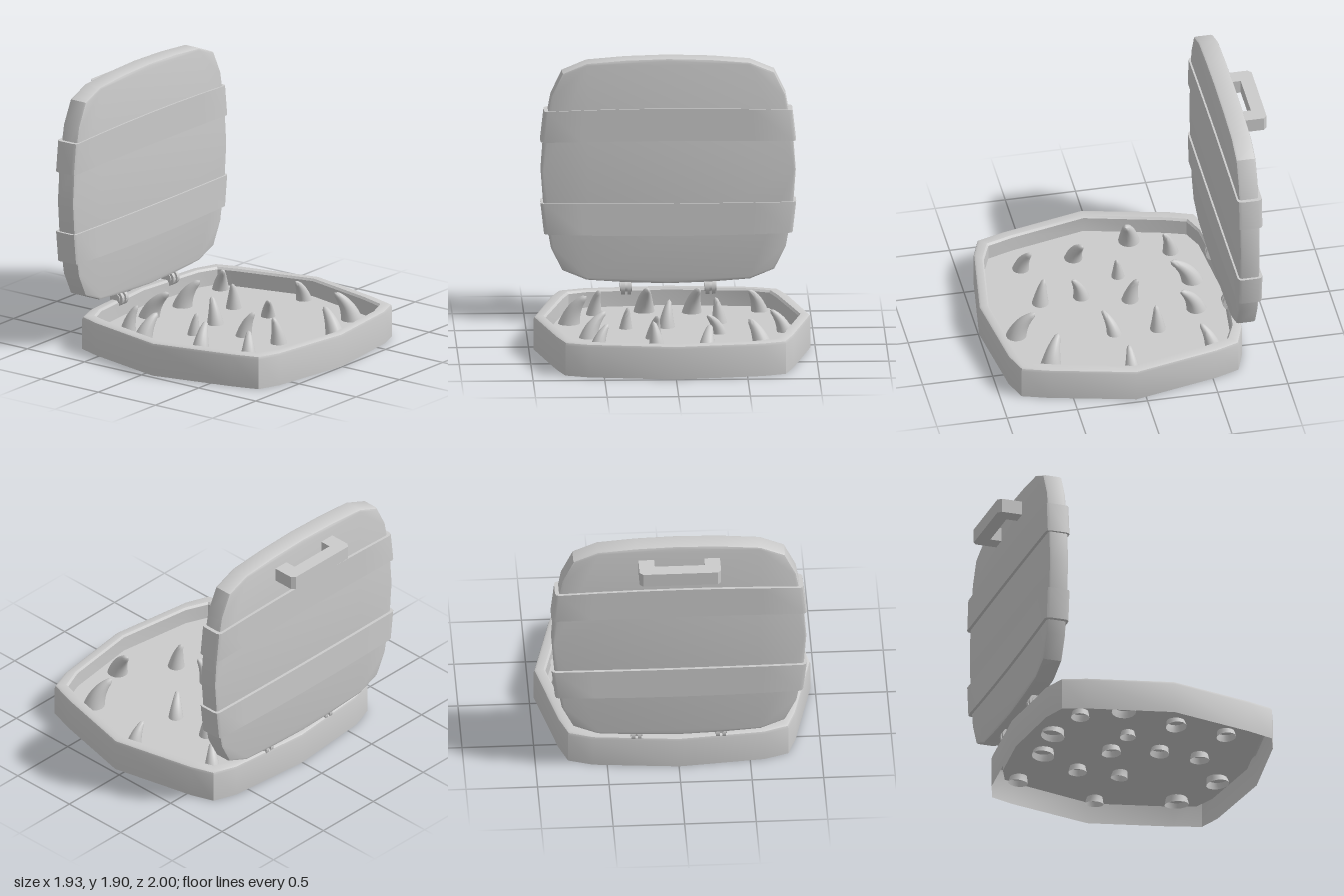
import * as THREE from 'three';
import { toCreasedNormals } from 'three/addons/utils/BufferGeometryUtils.js';

const material = new THREE.MeshStandardMaterial({ color: 0xcccccc, side: THREE.DoubleSide });

function addMesh(parent, name, geometry) {
  const mesh = new THREE.Mesh(geometry, material);
  mesh.name = name;
  parent.add(mesh);
  return mesh;
}

// Completes a half outline (listed from x = 0 round to x = 0) by mirroring it
function mirrorOutline(half) {
  const other = half.slice(1, -1).reverse().map(([x, y]) => [-x, y]);
  return [...half, ...other];
}

function toShape(points) {
  return new THREE.Shape(points.map(([x, y]) => new THREE.Vector2(x, y)));
}

// Joins equal-length closed rings of [x, y, z] points into a skin
function loft(rings) {
  const n = rings[0].length;
  const index = [];
  for (let r = 0; r < rings.length - 1; r++) {
    for (let i = 0; i < n; i++) {
      const a = r * n + i, b = r * n + (i + 1) % n;
      index.push(a, b, a + n, b, b + n, a + n);
    }
  }
  const geometry = new THREE.BufferGeometry();
  geometry.setAttribute('position', new THREE.Float32BufferAttribute(rings.flat(2), 3));
  geometry.setIndex(index);
  return toCreasedNormals(geometry, 0.6);
}

// Bevelled plate between two z planes, with its outline kept at full size
function plate(shape, zBack, zFront, bevel) {
  const geometry = new THREE.ExtrudeGeometry(shape, {
    depth: zFront - zBack - 2 * bevel, bevelEnabled: true, bevelThickness: bevel,
    bevelSize: bevel, bevelOffset: -bevel, bevelSegments: 2,
  });
  geometry.translate(0, 0, zBack + bevel);
  return toCreasedNormals(geometry, 0.6);
}

// Strap wrapped round the lid: a band with chamfered ends and arched edges
function strapGeometry(side) {
  const middle = 1.0825, centreZ = -0.758;
  const section = mirrorOutline([[0, 0.088], [0.3, 0.088], [0.6, 0.088], [0.865, 0.088], [0.885, 0.078],
    [0.893, 0.058], [0.893, -0.058], [0.885, -0.078], [0.865, -0.088], [0.6, -0.088], [0.3, -0.088], [0, -0.088]]);
  // shrink narrows the band towards its far edge, inset tucks the edges into the lid
  const ring = (edge, arch, shrink, inset) => section.map(([x, z]) => [
    x * (1 - shrink) - Math.sign(x) * inset,
    middle + side * (edge - arch * x * x),
    centreZ + z - Math.sign(z) * inset,
  ]);
  return loft([
    ring(0.225, 0.008, 0, 0.035), ring(0.225, 0.008, 0, 0),
    ring(0.457, 0.022, 0.028, 0), ring(0.457, 0.022, 0.028, 0.035),
  ].slice()[side > 0 ? 'slice' : 'reverse']());
}

// Curved spike: a hollow tube that rises through the floor, bends and tapers to its tip
function spikeGeometry(x, z, r, tipX, tipZ, tipY) {
  const rootY = 0.07;
  const base = new THREE.Vector3(x, rootY, z);
  const bend = new THREE.Vector3(x + (tipX - x) * 0.15, rootY + (tipY - rootY) * 0.65, z + (tipZ - z) * 0.15);
  const curve = new THREE.QuadraticBezierCurve3(base, bend, new THREE.Vector3(tipX, tipY, tipZ));
  const steps = 14, sides = 16;
  const geometry = new THREE.TubeGeometry(curve, steps, 1, sides, false);
  const position = geometry.attributes.position;
  const p = new THREE.Vector3();
  for (let i = 0; i <= steps; i++) {
    const t = i / steps;
    const centre = curve.getPointAt(t);
    const radius = i === steps ? 0 : r * (0.16 + 0.88 * Math.pow(1 - t, 0.85));
    for (let j = 0; j <= sides; j++) {
      const k = i * (sides + 1) + j;
      p.fromBufferAttribute(position, k).sub(centre).multiplyScalar(radius).add(centre);
      position.setXYZ(k, p.x, p.y, p.z);
    }
  }
  return toCreasedNormals(geometry, 1.2);
}

export function createModel() {
  const model = new THREE.Group();
  model.name = 'spikedTrapBox';

  // Tray: outer wall, bevelled rim, inner wall; open underneath
  const tray = new THREE.Group();
  tray.name = 'tray';
  model.add(tray);
  const floorY = 0.115;
  const outer = mirrorOutline([[0, 0.995], [0.61, 0.91], [0.77, 0.85], [0.83, 0.66], [0.967, 0.07],
    [0.83, -0.53], [0.77, -0.695], [0.6, -0.755], [0, -0.81]]);
  const inner = mirrorOutline([[0, 0.925], [0.54, 0.85], [0.7, 0.785], [0.76, 0.6], [0.885, 0.07],
    [0.745, -0.49], [0.7, -0.625], [0.56, -0.685], [0, -0.74]]);
  const blend = (t, y) => outer.map(([x, z], i) =>
    [x + (inner[i][0] - x) * t, y, z + (inner[i][1] - z) * t]);
  addMesh(tray, 'trayWall', loft([
    blend(0, 0), blend(0, 0.215), blend(0.07, 0.232), blend(0.25, 0.24),
    blend(0.85, 0.24), blend(1, 0.225), blend(1, floorY),
  ]));
  const floor = new THREE.ShapeGeometry(toShape(inner));
  floor.rotateX(Math.PI / 2);
  floor.translate(0, floorY, 0);
  // Turn the floor's faces upward
  floor.index.array.reverse();
  floor.computeVertexNormals();
  addMesh(tray, 'trayFloor', floor);

  // Spikes: base x, base z, base radius, tip x, tip z, tip height
  const spikes = new THREE.Group();
  spikes.name = 'spikes';
  model.add(spikes);
  [
    [-0.53, -0.48, 0.062, -0.49, -0.42, 0.30],
    [-0.175, -0.565, 0.08, -0.155, -0.40, 0.31],
    [0.155, -0.525, 0.076, 0.205, -0.40, 0.31],
    [0.635, -0.55, 0.066, 0.555, -0.465, 0.28],
    [-0.715, -0.22, 0.082, -0.59, -0.17, 0.32],
    [0.34, -0.21, 0.062, 0.31, -0.20, 0.30],
    [-0.32, -0.06, 0.053, -0.30, -0.045, 0.27],
    [-0.035, -0.085, 0.066, -0.01, -0.14, 0.30],
    [0.335, 0.095, 0.058, 0.24, 0.17, 0.26],
    [0.795, 0.065, 0.063, 0.685, 0.07, 0.27],
    [-0.595, 0.205, 0.07, -0.465, 0.16, 0.29],
    [-0.135, 0.235, 0.065, -0.105, 0.31, 0.29],
    [-0.545, 0.59, 0.066, -0.46, 0.53, 0.29],
    [-0.12, 0.535, 0.066, -0.145, 0.50, 0.30],
    [0.625, 0.615, 0.082, 0.52, 0.535, 0.32],
    [0.215, 0.78, 0.078, 0.25, 0.645, 0.31],
  ].forEach((s) => addMesh(spikes, 'spike', spikeGeometry(...s)));

  // Lid: upright barrel-shaped panel at the back
  const lid = new THREE.Group();
  lid.name = 'lid';
  model.add(lid);
  const panel = mirrorOutline([[0, 0.28], [0.3, 0.29], [0.57, 0.31], [0.74, 0.38], [0.82, 0.54],
    [0.87, 0.82], [0.89, 1.09], [0.87, 1.36], [0.82, 1.63], [0.74, 1.795], [0.57, 1.866],
    [0.3, 1.888], [0, 1.897]]);
  addMesh(lid, 'lidPanel', plate(toShape(panel), -0.825, -0.683, 0.018));

  // Two straps, mirrored about the lid's middle
  addMesh(lid, 'upperStrap', strapGeometry(1));
  addMesh(lid, 'lowerStrap', strapGeometry(-1));

  // Handle on the outside of the lid
  const grip = mirrorOutline([[0, 0.905], [0.175, 0.905], [0.175, 0.815], [0.285, 0.815],
    [0.285, 0.975], [0.26, 1], [0, 1]]);
  const handle = new THREE.ExtrudeGeometry(toShape(grip), { depth: 0.1, bevelEnabled: false });
  handle.rotateX(-Math.PI / 2);
  addMesh(lid, 'handle', handle).position.y = 1.69;

  // Hinges: two knuckles on a pin, either side
  for (const side of [1, -1]) {
    const hinge = new THREE.Group();
    hinge.name = side > 0 ? 'leftHinge' : 'rightHinge';
    hinge.position.set(side * 0.295, 0.25, -0.73);
    model.add(hinge);
    for (const [name, x, radius, width] of [
      ['knuckle', -0.022, 0.055, 0.026], ['knuckle', 0.022, 0.055, 0.026], ['pin', 0, 0.035, 0.085],
    ]) {
      const part = new THREE.CylinderGeometry(radius, radius, width, 20);
      part.rotateZ(Math.PI / 2);
      addMesh(hinge, name, part).position.x = x;
    }
  }

  return model;
}
